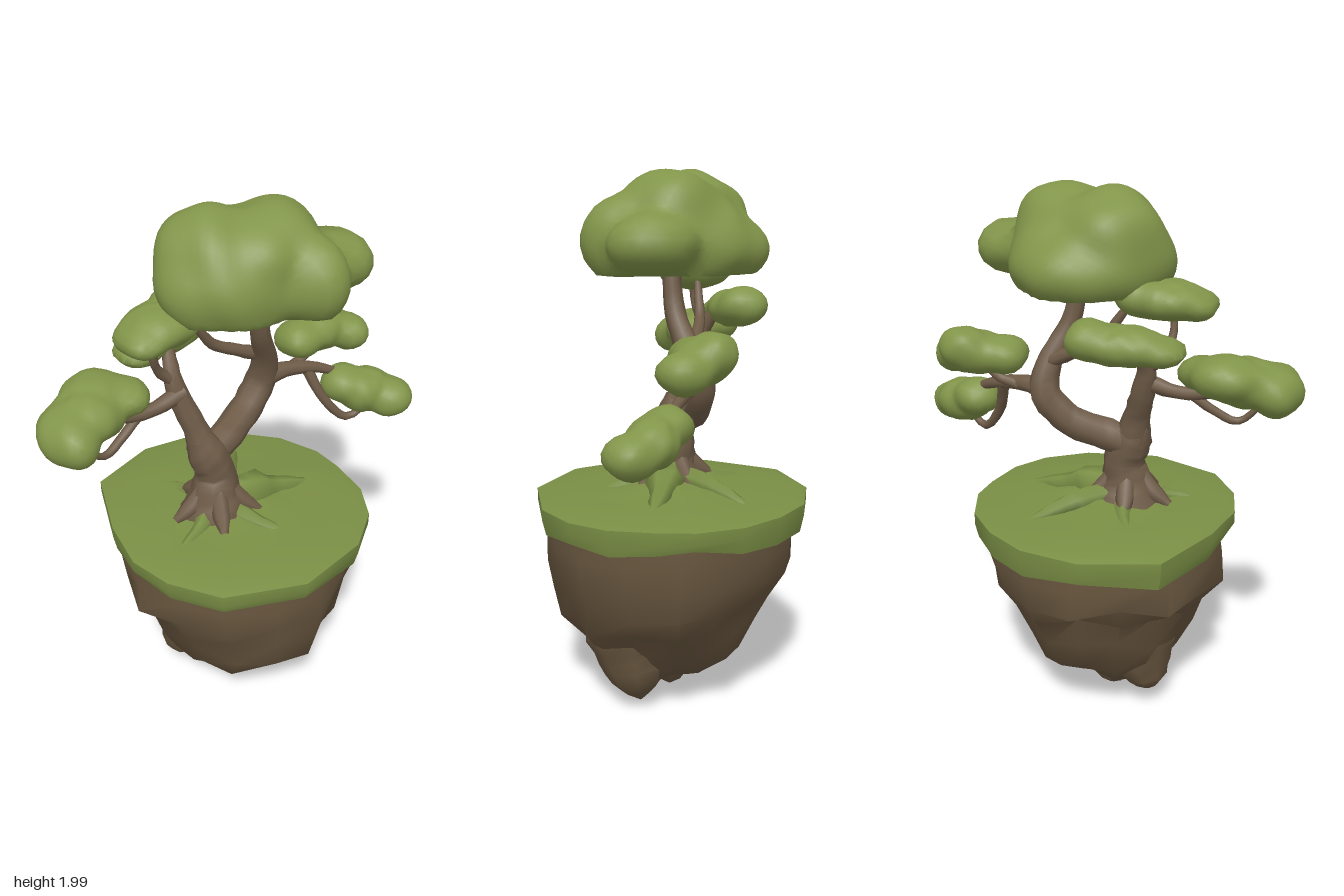
import * as THREE from 'three';
import { mergeVertices, toCreasedNormals } from 'three/addons/utils/BufferGeometryUtils.js';

const V = (p) => new THREE.Vector3(p[0], p[1], p[2]);
const mat = (name, color) => Object.assign(new THREE.MeshStandardMaterial({ color }), { name });

// Repeatable jitter in -1..1
const hash = (a, b = 0) => {
  const s = Math.sin(a * 127.1 + b * 311.7 + 4.2) * 43758.5453;
  return (s - Math.floor(s)) * 2 - 1;
};

// Weld, then smooth everything softer than the crease angle
function finish(geo, crease) {
  geo.deleteAttribute('uv');
  geo.deleteAttribute('normal');
  const g = mergeVertices(geo, 1e-4);
  g.computeVertexNormals();
  return crease ? toCreasedNormals(g, crease) : g;
}

// Closed skin over n-sided rings, listed from the underside to the top
function loft(rows, n, point, crease) {
  const pos = [], idx = [];
  for (let j = 0; j < rows; j++) for (let i = 0; i < n; i++) pos.push(...point(i, j));
  for (let j = 0; j < rows - 1; j++) for (let i = 0; i < n; i++) {
    const k = (i + 1) % n, a = j * n + i, b = j * n + k;
    idx.push(a, a + n, b, b, a + n, b + n);
  }
  const g = new THREE.BufferGeometry();
  g.setAttribute('position', new THREE.Float32BufferAttribute(pos, 3));
  g.setIndex(idx);
  return finish(g, crease);
}

// Tapered limb along a curve; each point is [x, y, z, radius]
function limb(points, sides = 8, rough = 0.06, crease = 0) {
  const curve = new THREE.CatmullRomCurve3(points.map(V));
  const radii = new THREE.CatmullRomCurve3(points.map((p) => new THREE.Vector3(p[3], 0, 0)));
  const seg = (points.length - 1) * 4;
  const g = new THREE.TubeGeometry(curve, seg, 1, sides);
  const pos = g.attributes.position, v = new THREE.Vector3();
  for (let j = 0; j <= seg; j++) {
    const c = curve.getPointAt(j / seg);
    const r = radii.getPoint(curve.getUtoTmapping(j / seg)).x;
    for (let i = 0; i <= sides; i++) {
      const k = j * (sides + 1) + i;
      v.fromBufferAttribute(pos, k).sub(c).multiplyScalar(r * (1 + rough * hash(i % sides, j))).add(c);
      pos.setXYZ(k, v.x, v.y, v.z);
    }
  }
  return finish(g, crease);
}

// Leaf clump: a ball pushed out to the smooth union of ellipsoids [x, y, z, rx, ry, rz]
function clump(lobes, floor, detail) {
  const g = new THREE.IcosahedronGeometry(1, detail);
  const pos = g.attributes.position, o = V(lobes[0]), d = new THREE.Vector3();
  const inside = (t) => lobes.reduce((sum, [x, y, z, rx, ry, rz]) => {
    const a = (o.x + d.x * t - x) / rx, b = (o.y + d.y * t - y) / ry, c = (o.z + d.z * t - z) / rz;
    return sum + Math.exp(5 * (1 - a * a - b * b - c * c));
  }, 0) > 1;
  for (let i = 0; i < pos.count; i++) {
    d.fromBufferAttribute(pos, i).normalize();
    let t = 0.6;
    while (t > 0.02 && !inside(t)) t -= 0.02;
    for (let s = 0.01; s > 0.0002; s /= 2) if (inside(t + s)) t += s;
    t *= 1 + 0.03 * Math.sin(d.x * 6 + o.x * 9) * Math.cos(d.z * 7 + d.y * 4);
    d.multiplyScalar(t).add(o);
    pos.setXYZ(i, d.x, Math.max(d.y, floor), d.z);
  }
  return finish(g, 0.9);
}

export function createModel() {
  const model = new THREE.Group();
  model.name = 'floatingIslandTree';
  const leaf = mat('leafGreen', 0x82954a), grass = mat('grassGreen', 0x7a8e45);
  const bark = mat('barkBrown', 0x6e5b47), rock = mat('rockBrown', 0x67553e);
  const add = (name, geo, material, parent = model) => {
    const m = new THREE.Mesh(geo, material);
    m.name = name;
    parent.add(m);
  };
  const group = (name) => {
    const g = new THREE.Group();
    g.name = name;
    model.add(g);
    return g;
  };

  // Rock body: rings of [y, -x, +x, -z, +z] reach, with jittered corners
  const body = [[0.1, 0.01, 0.01, 0.01, 0.01], [0.13, 0.22, 0.15, 0.13, 0.2], [0.24, 0.31, 0.25, 0.27, 0.33],
    [0.36, 0.36, 0.33, 0.33, 0.43], [0.48, 0.41, 0.41, 0.37, 0.45], [0.57, 0.46, 0.44, 0.46, 0.48],
    [0.66, 0.48, 0.46, 0.47, 0.49], [0.78, 0.46, 0.45, 0.46, 0.48]];
  const island = group('islandRock');
  add('rockBody', loft(body.length, 16, (i, j) => {
    const [y, x0, x1, z0, z1] = body[j], a = (i / 16) * Math.PI * 2;
    const c = Math.cos(a), s = Math.sin(a), top = j > 5;
    const k = top ? 0.97 + 0.02 * hash(i, 3) : 1 + 0.04 * hash(i, 3) + 0.035 * hash(i, j);
    const lift = j > 0 && !top ? 0.03 * hash(i + 5, j) : 0;
    return [c * (c > 0 ? x1 : x0) * k, y + lift, s * (s > 0 ? z1 : z0) * k];
  }, 0.85), rock, island);

  // Hanging rock points under the body
  [
    [[-0.04, 0.45, 0, 0.24], [-0.05, 0.2, 0.01, 0.14], [-0.05, 0.06, 0.01, 0.07], [-0.05, 0.01, 0.01, 0.002]],
    [[0.05, 0.5, 0.16, 0.25], [0.09, 0.26, 0.16, 0.165], [0.13, 0.1, 0.14, 0.09], [0.14, 0.04, 0.13, 0.002]],
    [[-0.12, 0.45, -0.08, 0.24], [-0.18, 0.25, -0.09, 0.13], [-0.21, 0.13, -0.1, 0.075], [-0.22, 0.08, -0.1, 0.002]],
  ].forEach((p) => add('rockPoint', limb(p, 8, 0.05, 0.85), rock, island));

  // Grass cap: many-sided outline, drooping skirt and a low dome
  const rim = [[0.47, 0.08], [0.43, 0.25], [0.34, 0.38], [0.18, 0.48], [-0.11, 0.515], [-0.38, 0.38], [-0.48, 0.2],
    [-0.505, 0.03], [-0.45, -0.18], [-0.32, -0.45], [-0.05, -0.52], [0.17, -0.47], [0.32, -0.36], [0.43, -0.22], [0.48, -0.05]];
  const cap = [[0, 0.77], [0.9, 0.765], [0.975, 0.73], [1, 0.77], [1, 0.815], [0.93, 0.828],
    [0.62, 0.838], [0.38, 0.85], [0.17, 0.872], [0, 0.88]];
  add('grassCap', loft(cap.length, rim.length, (i, j) => {
    const [k, y] = cap[j];
    const dy = j === 2 ? 0.022 * hash(i, 8) : j > 4 && j < 9 ? 0.008 * hash(i, j) : 0;
    return [rim[i][0] * k, y + dy, rim[i][1] * k];
  }, 0.75), grass);

  // Grassy humps over the roots
  const humps = group('grassHumps');
  [
    [[-0.06, 0.9, 0.01, 0.05], [0.1, 0.865, 0.04, 0.05], [0.3, 0.825, 0.09, 0.015]],
    [[-0.06, 0.87, -0.02, 0.05], [0.08, 0.86, -0.14, 0.04], [0.2, 0.825, -0.25, 0.015]],
    [[-0.12, 0.86, 0, 0.05], [-0.22, 0.845, 0.06, 0.03], [-0.35, 0.825, 0.1, 0.012]],
    [[-0.1, 0.86, 0, 0.05], [-0.12, 0.845, -0.16, 0.03], [-0.18, 0.825, -0.3, 0.012]],
    [[-0.08, 0.86, 0, 0.05], [-0.04, 0.845, 0.16, 0.03], [0.02, 0.825, 0.28, 0.012]],
  ].forEach((p) => add('grassHump', limb(p, 6, 0.12), grass, humps));

  // Trunk, stems and branches
  const tree = group('trunkAndBranches');
  const limbs = {
    trunk: [[-0.1, 0.83, 0, 0.14], [-0.1, 0.92, 0, 0.098], [-0.09, 1, -0.01, 0.078], [-0.12, 1.09, -0.02, 0.075], [-0.15, 1.17, -0.03, 0.045]],
    leftStem: [[-0.12, 1.08, -0.02, 0.07], [-0.145, 1.19, -0.05, 0.048], [-0.175, 1.3, -0.09, 0.043], [-0.19, 1.4, -0.12, 0.032], [-0.16, 1.5, -0.18, 0.02]],
    rightStem: [[-0.13, 1.07, -0.02, 0.06], [-0.02, 1.11, -0.04, 0.063], [0.1, 1.16, -0.07, 0.06], [0.19, 1.26, -0.08, 0.058],
      [0.18, 1.37, -0.05, 0.046], [0.11, 1.52, 0, 0.036], [0.08, 1.68, 0.01, 0.032]],
    farLeftBranch: [[-0.17, 1.34, -0.09, 0.035], [-0.28, 1.31, -0.1, 0.026], [-0.38, 1.31, -0.11, 0.022], [-0.5, 1.35, -0.12, 0.015]],
    farLeftTwig: [[-0.34, 1.31, -0.11, 0.018], [-0.43, 1.25, -0.1, 0.017], [-0.51, 1.215, -0.09, 0.014], [-0.59, 1.28, -0.09, 0.01]],
    upperLeftBranch: [[-0.19, 1.38, -0.11, 0.024], [-0.25, 1.44, -0.12, 0.018], [-0.28, 1.52, -0.1, 0.014], [-0.27, 1.62, -0.09, 0.01]],
    crossBranch: [[0.19, 1.37, -0.06, 0.03], [0.08, 1.42, -0.08, 0.024], [-0.02, 1.47, -0.1, 0.02], [-0.09, 1.56, -0.1, 0.016], [-0.14, 1.63, -0.1, 0.01]],
    rightBranch: [[0.18, 1.27, -0.07, 0.045], [0.27, 1.28, -0.05, 0.032], [0.37, 1.27, -0.02, 0.025], [0.46, 1.24, 0.02, 0.018], [0.55, 1.18, 0.08, 0.01]],
    rightUpperTwig: [[0.3, 1.275, -0.05, 0.022], [0.38, 1.3, -0.05, 0.018], [0.45, 1.38, -0.05, 0.012]],
    rightLowerTwig: [[0.37, 1.26, -0.02, 0.022], [0.41, 1.14, 0.04, 0.019], [0.49, 1.05, 0.09, 0.016], [0.56, 1.09, 0.12, 0.012]],
  };
  for (const [name, p] of Object.entries(limbs)) add(name, limb(p), bark, tree);

  // Root flares around the trunk foot
  for (let i = 0; i < 5; i++) {
    const a = i * 1.257 + 0.8, c = Math.cos(a), s = Math.sin(a);
    add('root', limb([[-0.1 + 0.045 * c, 0.96, 0.045 * s, 0.03], [-0.1 + 0.1 * c, 0.89, 0.1 * s, 0.035],
      [-0.1 + 0.17 * c, 0.845, 0.17 * s, 0.015]], 7, 0.02), bark, tree);
  }

  // Leaf clumps
  const leaves = group('foliage');
  const clumps = {
    crown: [1.645, 11, [[0.03, 1.74, -0.04, 0.28, 0.2, 0.25], [-0.06, 1.83, -0.07, 0.17, 0.165, 0.19], [0.15, 1.84, 0.02, 0.15, 0.155, 0.18],
      [0.05, 1.85, 0.02, 0.15, 0.12, 0.18], [0.18, 1.76, 0.18, 0.12, 0.15, 0.14], [0.35, 1.755, 0.09, 0.13, 0.1, 0.15],
      [-0.13, 1.75, -0.04, 0.13, 0.12, 0.15], [0.05, 1.72, -0.17, 0.2, 0.11, 0.16]]],
    upperLeftClump: [1.56, 7, [[-0.25, 1.63, -0.09, 0.14, 0.07, 0.12], [-0.35, 1.61, -0.07, 0.08, 0.05, 0.1], [-0.16, 1.65, -0.13, 0.08, 0.07, 0.1]]],
    backLeftClump: [1.43, 7, [[-0.13, 1.5, -0.24, 0.16, 0.07, 0.1], [-0.02, 1.52, -0.26, 0.08, 0.07, 0.09], [-0.26, 1.48, -0.22, 0.09, 0.05, 0.09]]],
    farLeftClump: [1.25, 8, [[-0.54, 1.37, -0.13, 0.14, 0.085, 0.12], [-0.64, 1.34, -0.1, 0.09, 0.09, 0.14],
      [-0.47, 1.4, -0.19, 0.12, 0.075, 0.11], [-0.38, 1.39, -0.12, 0.075, 0.06, 0.09]]],
    rightUpperClump: [1.29, 7, [[0.46, 1.39, -0.06, 0.12, 0.08, 0.1], [0.49, 1.42, -0.1, 0.09, 0.07, 0.08],
      [0.56, 1.365, 0, 0.075, 0.07, 0.09], [0.35, 1.385, -0.05, 0.09, 0.07, 0.09]]],
    rightLowerClump: [1.04, 7, [[0.57, 1.15, 0.1, 0.11, 0.085, 0.09], [0.5, 1.185, 0.05, 0.09, 0.07, 0.09], [0.64, 1.12, 0.17, 0.09, 0.075, 0.09]]],
  };
  for (const [name, [floor, detail, lobes]] of Object.entries(clumps)) add(name, clump(lobes, floor, detail), leaf, leaves);

  return model;
}
